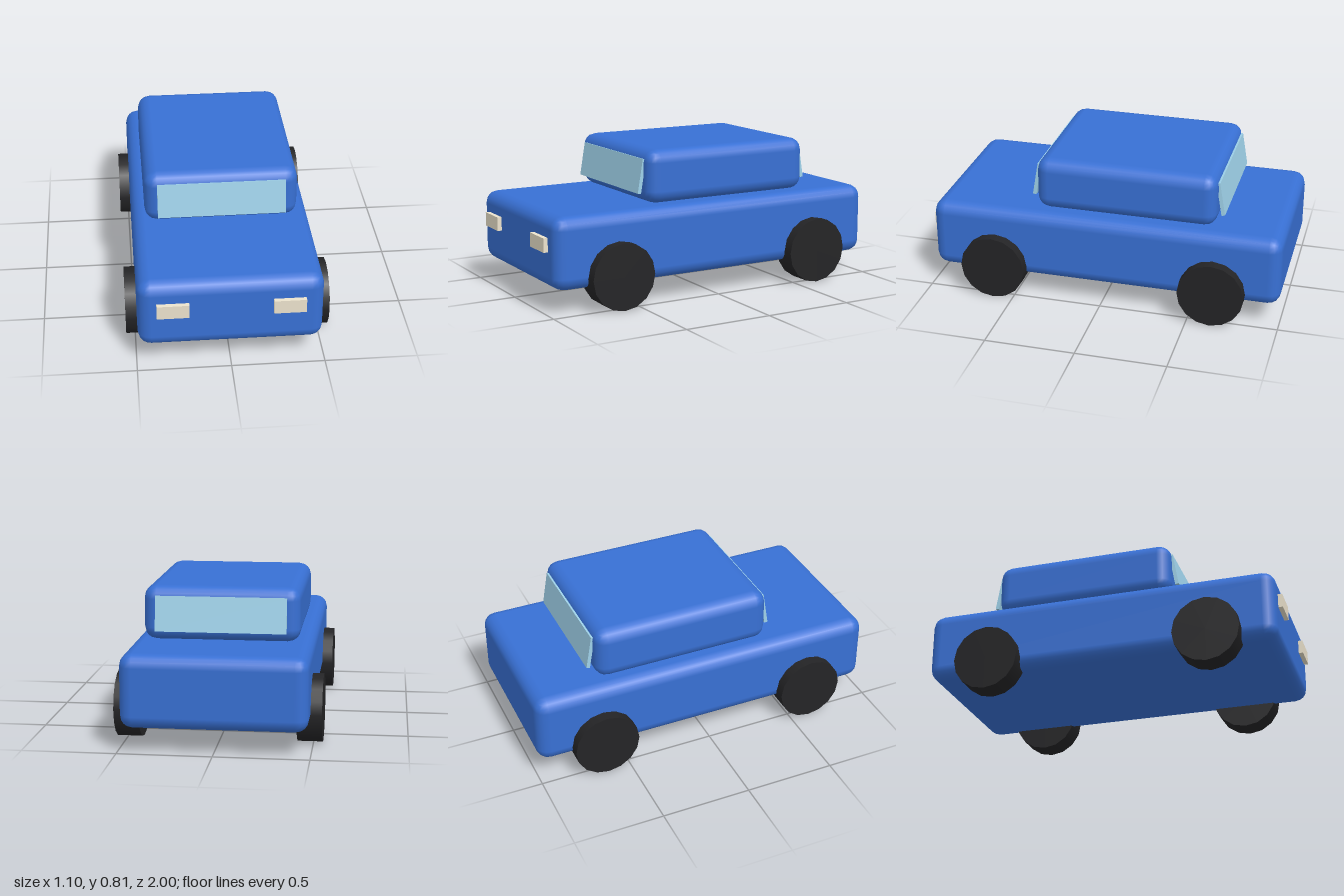
import * as THREE from 'three';
import { RoundedBoxGeometry } from 'three/addons/geometries/RoundedBoxGeometry.js';

const material = (color) => new THREE.MeshStandardMaterial({ color });

export function createModel() {
  const car = new THREE.Group();
  car.name = 'car';

  const paint = material(0x3870d4);
  const rubber = material(0x242426);
  const glass = material(0x9fd2ea);
  const lamp = material(0xece3cd);

  const add = (name, geometry, mat, x, y, z) => {
    const mesh = new THREE.Mesh(geometry, mat);
    mesh.name = name;
    mesh.position.set(x, y, z);
    car.add(mesh);
    return mesh;
  };

  // Lower body and cabin, both with softened edges
  add('body', new RoundedBoxGeometry(0.98, 0.395, 1.975, 2, 0.07), paint, 0, 0.322, -0.012);
  add('cabin', new RoundedBoxGeometry(0.84, 0.295, 1.01, 2, 0.07), paint, 0, 0.667, -0.12);

  // Windows lean out at the bottom, front and rear
  const pane = new THREE.BoxGeometry(0.7, 0.19, 0.02);
  add('windscreen', pane, glass, 0, 0.67, 0.396).rotation.x = -0.17;
  add('rearWindow', pane, glass, 0, 0.67, -0.638).rotation.x = 0.17;

  // Wheels and headlights, mirrored left and right
  const wheel = new THREE.CylinderGeometry(0.183, 0.183, 0.133, 16).rotateZ(Math.PI / 2);
  const headlight = new THREE.BoxGeometry(0.17, 0.077, 0.04);
  for (const [side, s] of [['left', 1], ['right', -1]]) {
    add(side + 'FrontWheel', wheel, rubber, s * 0.483, 0.183, 0.61);
    add(side + 'RearWheel', wheel, rubber, s * 0.483, 0.183, -0.63);
    add(side + 'Headlight', headlight, lamp, s * 0.305, 0.367, 0.98);
  }

  return car;
}
